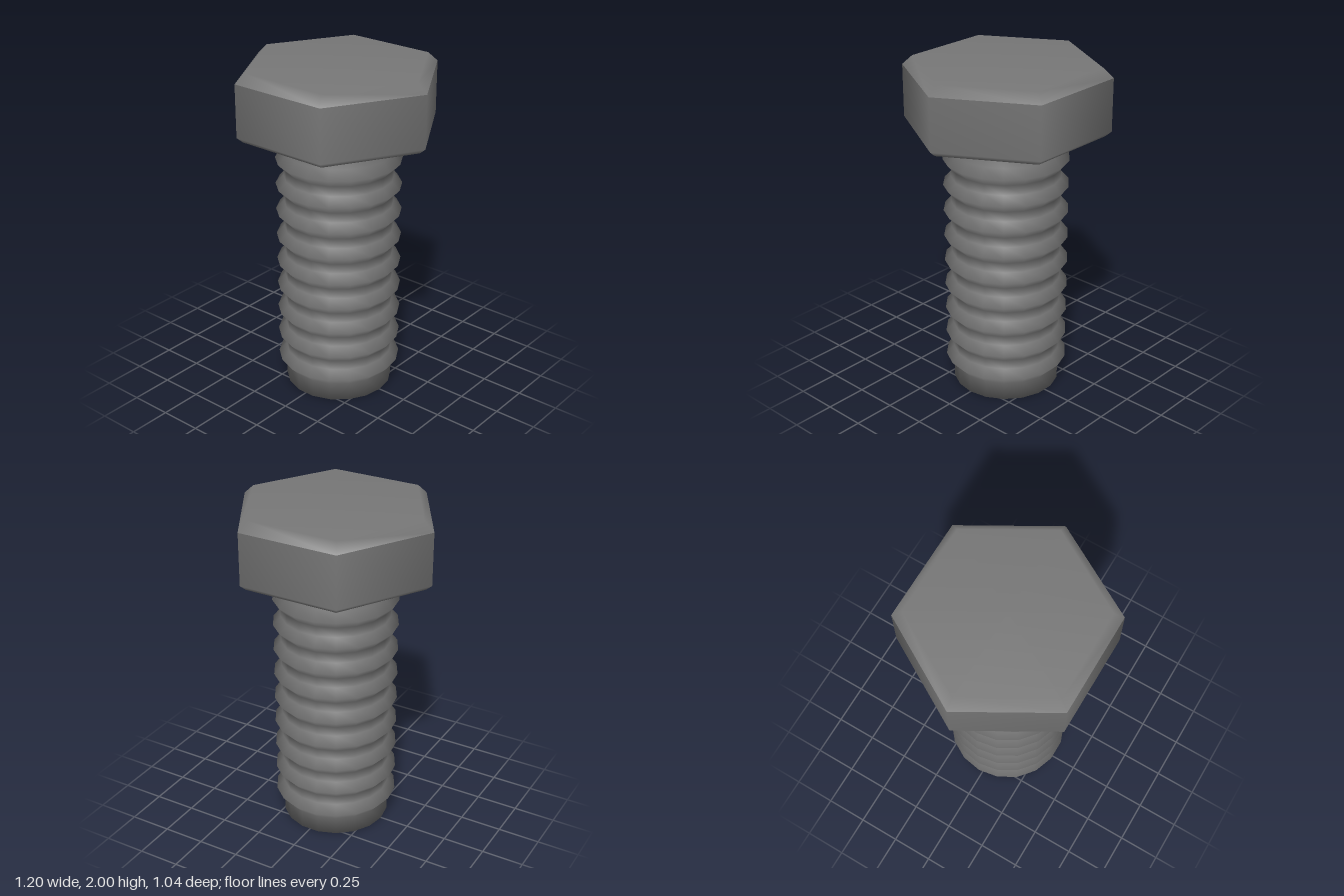
import * as THREE from 'three';

const steel = new THREE.MeshStandardMaterial({ color: 0x777777 });
steel.name = 'dark steel';

// Revolve a [radius, height] profile, listed bottom to top, with a corner on the x axis
function turned(name, profile, sides) {
  const points = profile.map(([r, y]) => new THREE.Vector2(r, y));
  const mesh = new THREE.Mesh(new THREE.LatheGeometry(points, sides, Math.PI / 2), steel);
  mesh.name = name;
  return mesh;
}

export function createModel() {
  const bolt = new THREE.Group();
  bolt.name = 'hexBolt';

  // Hexagonal head: sides with a small lower bevel, and a bevelled top
  const head = new THREE.Group();
  head.name = 'head';
  head.add(
    turned('headSides', [[0, 1.605], [0.565, 1.605], [0.6, 1.635], [0.6, 1.945]], 6),
    turned('headTop', [[0.6, 1.945], [0.54, 2], [0, 2]], 6)
  );
  bolt.add(head);

  // Shank with nine ring-shaped thread ridges
  const core = 0.319, crest = 0.366, pitch = 0.16, half = 0.05;
  const profile = [[0, 0], [core, 0]];
  for (let i = 1; i <= 9; i++) {
    const y = i * pitch;
    profile.push([core, y - half], [crest, y], [core, y + half]);
  }
  profile.push([core, 1.61]);
  bolt.add(turned('threadedShank', profile, 18));

  return bolt;
}
